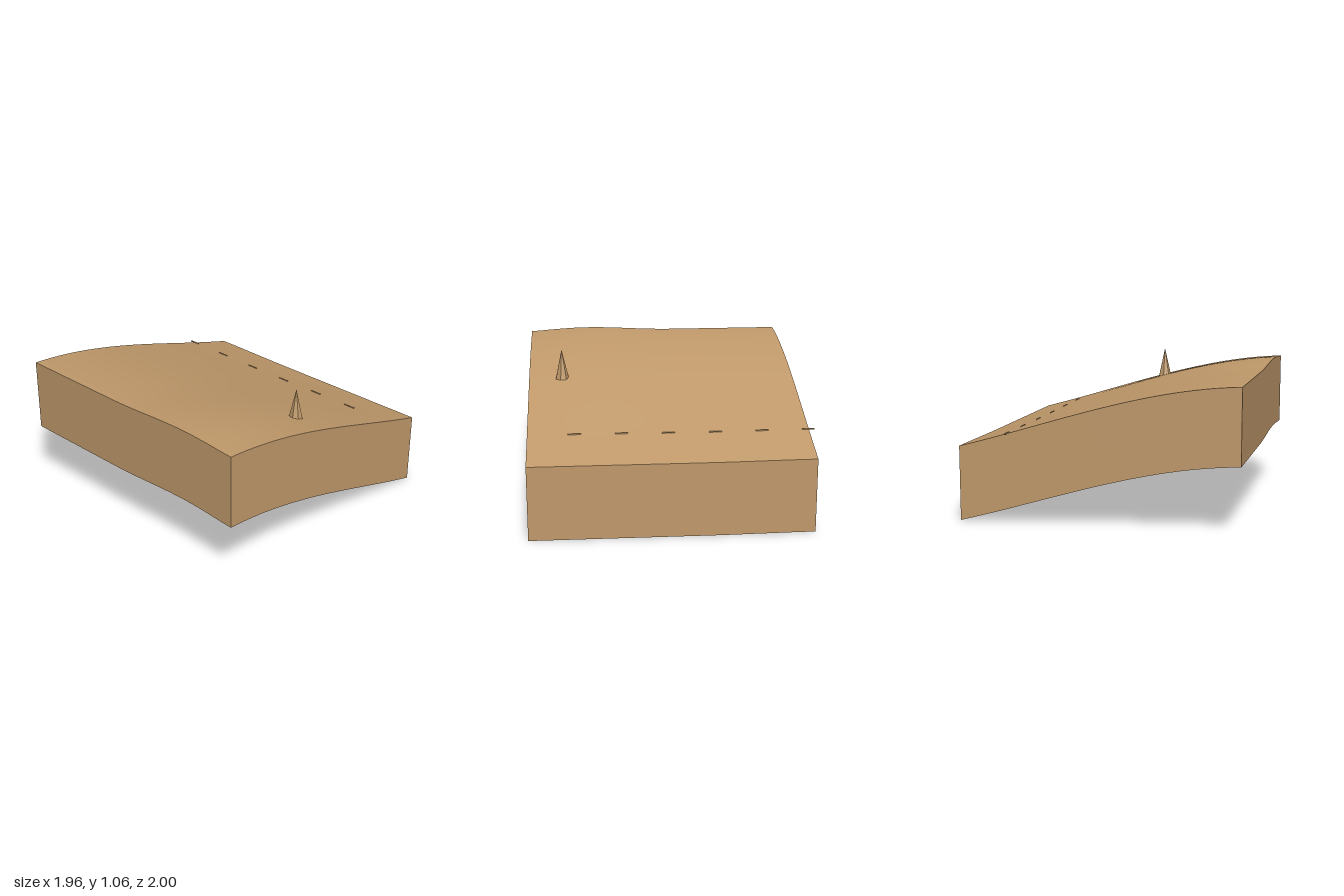
import * as THREE from 'three';

const HALF_X = 0.98, Z_BACK = -0.96, Z_FRONT = 1, DEPTH = 0.525, STEPS = 40;

// Height of the slope: an S-curve across x with a soft rise near the high front side
function heightAt(x, z) {
  const u = x / HALF_X;
  const slope = 0.821 - 0.28 * u - 0.055 * u * u + 0.041 * u ** 3;
  const t = THREE.MathUtils.clamp((z + 0.1) / 1.1, 0, 1);
  const rise = 0.024 * Math.sin(Math.PI * Math.pow(t, 1.3)) ** 1.3 * (1 - u) / 2;
  const backLift = 0.006 * THREE.MathUtils.smoothstep(-z, 0.2, 0.96) * (1 + u) / 2;
  return slope + rise + backLift;
}

// Smooth top surface bent by the height rule
function groundGeometry() {
  const g = new THREE.PlaneGeometry(2 * HALF_X, Z_FRONT - Z_BACK, STEPS, STEPS);
  g.rotateX(-Math.PI / 2);
  g.translate(0, 0, (Z_FRONT + Z_BACK) / 2);
  const p = g.attributes.position;
  for (let i = 0; i < p.count; i++) p.setY(i, heightAt(p.getX(i), p.getZ(i)));
  g.computeVertexNormals();
  return g;
}

// Wall hanging from the ground edge between two corners; its lower edge follows the slope
function skirtGeometry([x0, z0], [x1, z1]) {
  const g = new THREE.PlaneGeometry(1, 1, STEPS, 1);
  const p = g.attributes.position;
  for (let i = 0; i < p.count; i++) {
    const t = p.getX(i) + 0.5;
    const x = x0 + (x1 - x0) * t, z = z0 + (z1 - z0) * t;
    p.setXYZ(i, x, heightAt(x, z) - (p.getY(i) < 0 ? DEPTH : 0), z);
  }
  g.computeVertexNormals();
  return g;
}

export function createModel() {
  const model = new THREE.Group();
  const sand = new THREE.MeshStandardMaterial({ color: 0xc19a6b });
  sand.side = THREE.DoubleSide;
  const rock = new THREE.MeshStandardMaterial({ color: 0xc19a6b });
  rock.flatShading = true;

  const add = (name, geometry, material) => {
    const mesh = new THREE.Mesh(geometry, material);
    mesh.name = name;
    model.add(mesh);
    return mesh;
  };

  // Ground and its four open-bottomed walls
  add('ground', groundGeometry(), sand);
  const corners = [[-HALF_X, Z_FRONT], [HALF_X, Z_FRONT], [HALF_X, Z_BACK], [-HALF_X, Z_BACK]];
  ['frontWall', 'leftWall', 'backWall', 'rightWall'].forEach((name, i) =>
    add(name, skirtGeometry(corners[i], corners[(i + 1) % 4]), sand));

  // Seven-sided spire
  const spire = add('spire', new THREE.ConeGeometry(0.05, 0.22, 7), rock);
  spire.position.set(-0.083, 0.955, 0.757);
  spire.rotation.y = Math.PI;

  // Row of thin dashes along the lower slope
  for (let i = 0; i < 6; i++) {
    const z = 0.675 - i * 0.326, x = 0.627 + i * 0.001;
    const dash = add('dash', new THREE.BoxGeometry(0.006, 0.01, 0.09), rock);
    dash.position.set(x, heightAt(x, z) + 0.002, z);
  }
  return model;
}
